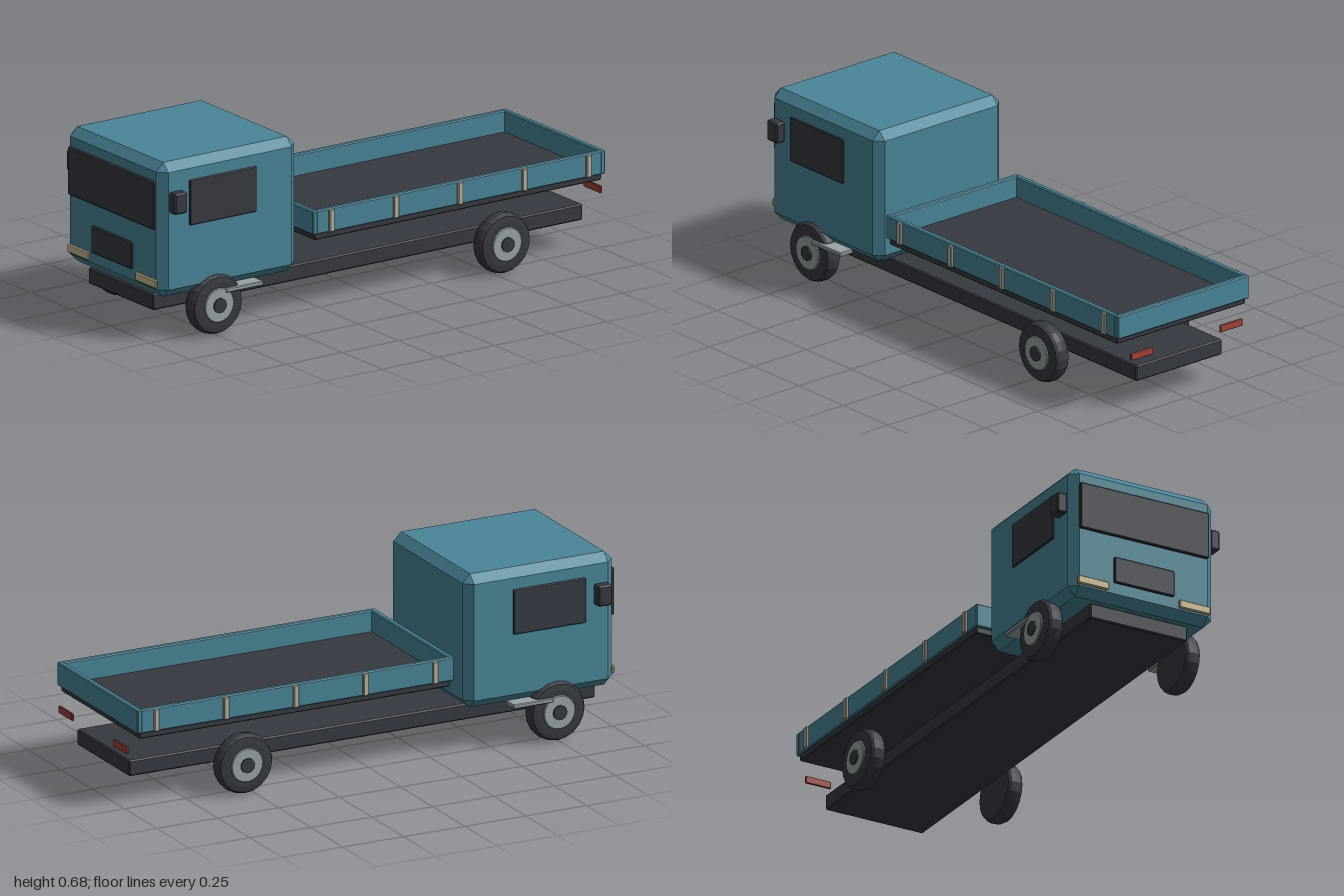
import * as THREE from 'three';
import { ConvexGeometry } from 'three/addons/geometries/ConvexGeometry.js';

const mat = (name, color) => new THREE.MeshStandardMaterial({ name, color });

// Box between two corners with every edge cut by a flat chamfer c
function chamferBox([x0, y0, z0], [x1, y1, z1], c) {
  const half = [(x1 - x0) / 2, (y1 - y0) / 2, (z1 - z0) / 2];
  const points = [];
  for (const sx of [-1, 1]) for (const sy of [-1, 1]) for (const sz of [-1, 1]) {
    for (let axis = 0; axis < 3; axis++) {
      const h = half.map((v, i) => (i === axis ? v : v - c));
      points.push(new THREE.Vector3(sx * h[0], sy * h[1], sz * h[2]));
    }
  }
  const geo = new ConvexGeometry(points);
  geo.translate((x0 + x1) / 2, (y0 + y1) / 2, (z0 + z1) / 2);
  return geo;
}

// Faceted turned solid around the x axis; profile is [radius, x] pairs
function turned(profile, sides) {
  const pts = profile.map(([r, x]) => new THREE.Vector2(r, x));
  const geo = new THREE.LatheGeometry(pts, sides).toNonIndexed();
  geo.computeVertexNormals();
  return geo.rotateZ(-Math.PI / 2);
}

export function createModel() {
  const teal = mat('teal paint', 0x4a8699);
  const dark = mat('dark grey', 0x373a42);
  const metal = mat('grey metal', 0x9aa5a7);
  const stakeMat = mat('pale stake', 0xb8b3a6);
  const cream = mat('headlight cream', 0xcfc196);
  const red = mat('tail light red', 0xa24438);

  const group = new THREE.Group();
  group.name = 'flatbedTruck';
  const truck = new THREE.Group();
  truck.name = 'truck';
  truck.position.y = -0.003;
  group.add(truck);

  const box = (name, a, b, material, c = 0.004) => {
    const mesh = new THREE.Mesh(chamferBox(a, b, c), material);
    mesh.name = name;
    truck.add(mesh);
  };
  // Matching box on each side; x measured outward from the centre
  const pair = (name, a, b, material, c) => {
    box(name + 'Left', a, b, material, c);
    box(name + 'Right', [-b[0], a[1], a[2]], [-a[0], b[1], b[2]], material, c);
  };

  // Chassis and cab
  box('chassis', [-0.204, 0.105, -0.957], [0.204, 0.166, 0.955], dark, 0.005);
  box('cab', [-0.301, 0.175, 0.375], [0.301, 0.686, 0.988], teal, 0.032);
  box('windscreen', [-0.27, 0.436, 0.984], [0.27, 0.617, 1.0], dark);
  box('grille', [-0.126, 0.25, 0.984], [0.126, 0.352, 0.998], dark);
  pair('headlight', [0.148, 0.213, 0.984], [0.278, 0.245, 0.997], cream);
  pair('sideWindow', [0.296, 0.438, 0.566], [0.308, 0.61, 0.863], dark, 0.003);
  pair('mirror', [0.3, 0.501, 0.896], [0.341, 0.58, 0.955], dark, 0.006);
  pair('step', [0.27, 0.162, 0.553], [0.331, 0.178, 0.718], metal, 0.003);

  // Load bed
  box('bedFloor', [-0.306, 0.281, -0.968], [0.306, 0.313, 0.308], dark);
  pair('sideBoard', [0.291, 0.304, -0.965], [0.313, 0.394, 0.305], teal);
  box('headBoard', [-0.313, 0.304, 0.298], [0.313, 0.394, 0.32], teal);
  box('tailBoard', [-0.313, 0.304, -0.981], [0.313, 0.394, -0.959], teal);
  for (let i = 0; i < 5; i++) {
    const z = 0.24 - i * 0.286;
    pair('stake' + (i + 1), [0.306, 0.305, z - 0.011], [0.322, 0.39, z + 0.011], stakeMat, 0.003);
  }
  pair('tailLight', [0.16, 0.215, -1.0], [0.265, 0.243, -0.991], red, 0.002);

  // Wheels: tyre, hub disc and centre cap, x measured from the wheel middle
  const tyre = turned([[0, -0.032], [0.085, -0.032], [0.105, -0.029], [0.112, -0.018],
    [0.115, 0], [0.112, 0.018], [0.105, 0.029], [0.085, 0.032], [0, 0.032]], 20);
  const hub = turned([[0.065, 0.028], [0.065, 0.035], [0.062, 0.038], [0, 0.038]], 20);
  const cap = turned([[0.028, 0.034], [0.028, 0.044], [0, 0.044]], 14);
  for (const [axle, z] of [['front', 0.745], ['rear', -0.536]]) {
    for (const side of [1, -1]) {
      const wheel = new THREE.Group();
      wheel.name = axle + 'Wheel' + (side > 0 ? 'Left' : 'Right');
      for (const [name, geo, material] of [['tyre', tyre, dark], ['hub', hub, metal], ['hubCap', cap, dark]]) {
        const mesh = new THREE.Mesh(geo, material);
        mesh.name = name;
        wheel.add(mesh);
      }
      wheel.position.set(side * 0.288, 0.118, z);
      if (side < 0) wheel.rotation.y = Math.PI;
      truck.add(wheel);
    }
  }
  return group;
}
